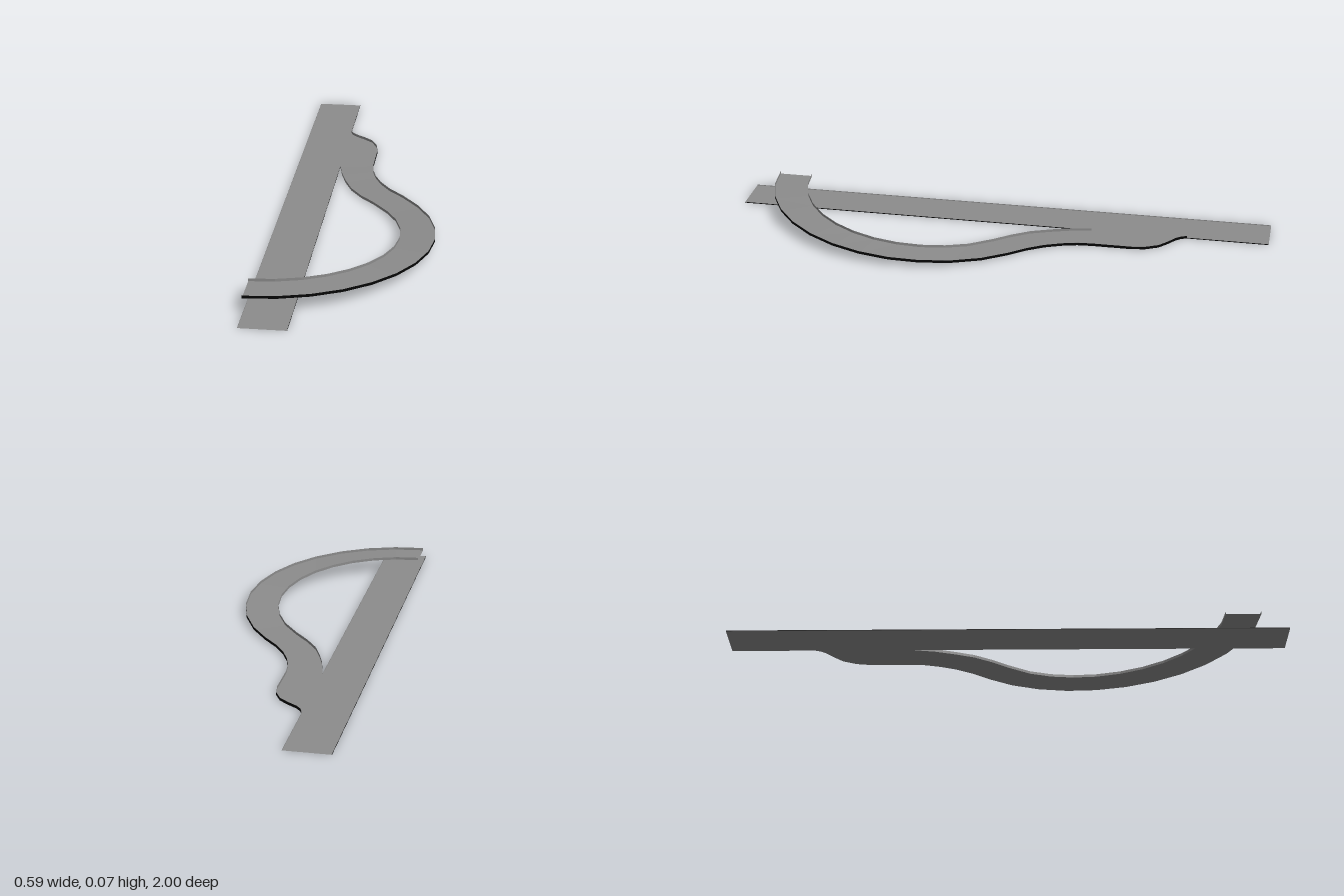
import * as THREE from 'three';

const grey = new THREE.MeshStandardMaterial({ name: 'roadGrey', color: 0x8c8c8c, side: THREE.DoubleSide });
const black = new THREE.MeshStandardMaterial({ name: 'kerbBlack', color: 0x050505 });

// Quad strip between two matching rows of [x, y, z] points
function ribbon(name, a, b, material) {
  const p = [];
  for (let i = 0; i < a.length - 1; i++) {
    p.push(...a[i], ...a[i + 1], ...b[i + 1], ...a[i], ...b[i + 1], ...b[i]);
  }
  const g = new THREE.BufferGeometry();
  g.setAttribute('position', new THREE.Float32BufferAttribute(p, 3));
  g.computeVertexNormals();
  const mesh = new THREE.Mesh(g, material);
  mesh.name = name;
  return mesh;
}

const raise = (edge, height) => edge.map(([x, y, z]) => [x, y + height, z]);

// Upright kerb: black face outside, and a grey face just inside it
function kerb(name, edge, height, inset) {
  const inside = edge.map(([x, y, z]) => [x + inset, y, z]);
  const group = new THREE.Group();
  group.name = name;
  group.add(
    ribbon(name + 'Outside', edge, raise(edge, height), black),
    ribbon(name + 'Inside', raise(inside, height), inside, grey),
  );
  return group;
}

export function createModel() {
  const model = new THREE.Group();
  const left = -0.295, right = -0.13;

  // Straight main road with low kerbs
  model.add(ribbon('mainRoad', [[left, 0, -1], [left, 0, 1]], [[right, 0, -1], [right, 0, 1]], grey));
  model.add(kerb('mainKerbLeft', [[left, 0, -1], [left, 0, 1]], 0.003, 0.001));
  model.add(kerb('mainKerbFront', [[right, 0, 1], [right, 0, -0.345]], 0.003, -0.001));
  model.add(kerb('mainKerbBack', [[right, 0, -0.7], [right, 0, -1]], 0.003, -0.001));

  // Rising arc of the ramp, from its open end round to the reverse bend
  const outer = [], inner = [];
  const steps = 11;
  for (let i = 0; i <= steps; i++) {
    const a = THREE.MathUtils.degToRad(90 - 122 * i / steps);
    const y = 0.025 + 0.033 * Math.sin(a);
    outer.push([left + 0.588 * Math.cos(a), y, 0.32 + 0.582 * Math.sin(a)]);
    inner.push([left + 0.463 * Math.cos(a), y, 0.32 + 0.456 * Math.sin(a)]);
  }
  // Reverse bend down to the fork: outer x, z, inner x, z, height
  const bend = [
    [0.14, -0.075, 0.035, -0.005, 0.005], [0.085, -0.135, -0.015, -0.06, 0.003],
    [0.045, -0.195, -0.06, -0.125, 0.002], [0.018, -0.255, -0.09, -0.195, 0.001],
    [0.003, -0.31, -0.113, -0.265, 0.001], [-0.003, -0.365, -0.13, -0.345, 0],
  ];
  for (const [ox, oz, ix, iz, y] of bend) {
    outer.push([ox, y, oz]);
    inner.push([ix, y, iz]);
  }
  const innerEdge = inner.slice();

  // Merge taper beside the main road
  const taper = [
    [-0.003, -0.51], [-0.012, -0.56], [-0.035, -0.605], [-0.07, -0.635],
    [-0.105, -0.66], [-0.122, -0.68], [-0.13, -0.7],
  ];
  for (const [x, z] of taper) {
    outer.push([x, 0, z]);
    inner.push([right, 0, z]);
  }

  model.add(ribbon('rampRoad', outer, inner, grey));
  model.add(kerb('rampOuterKerb', outer, 0.01, -0.001));
  model.add(ribbon('rampInnerKerb', raise(innerEdge, 0.01), innerEdge, grey));
  return model;
}
